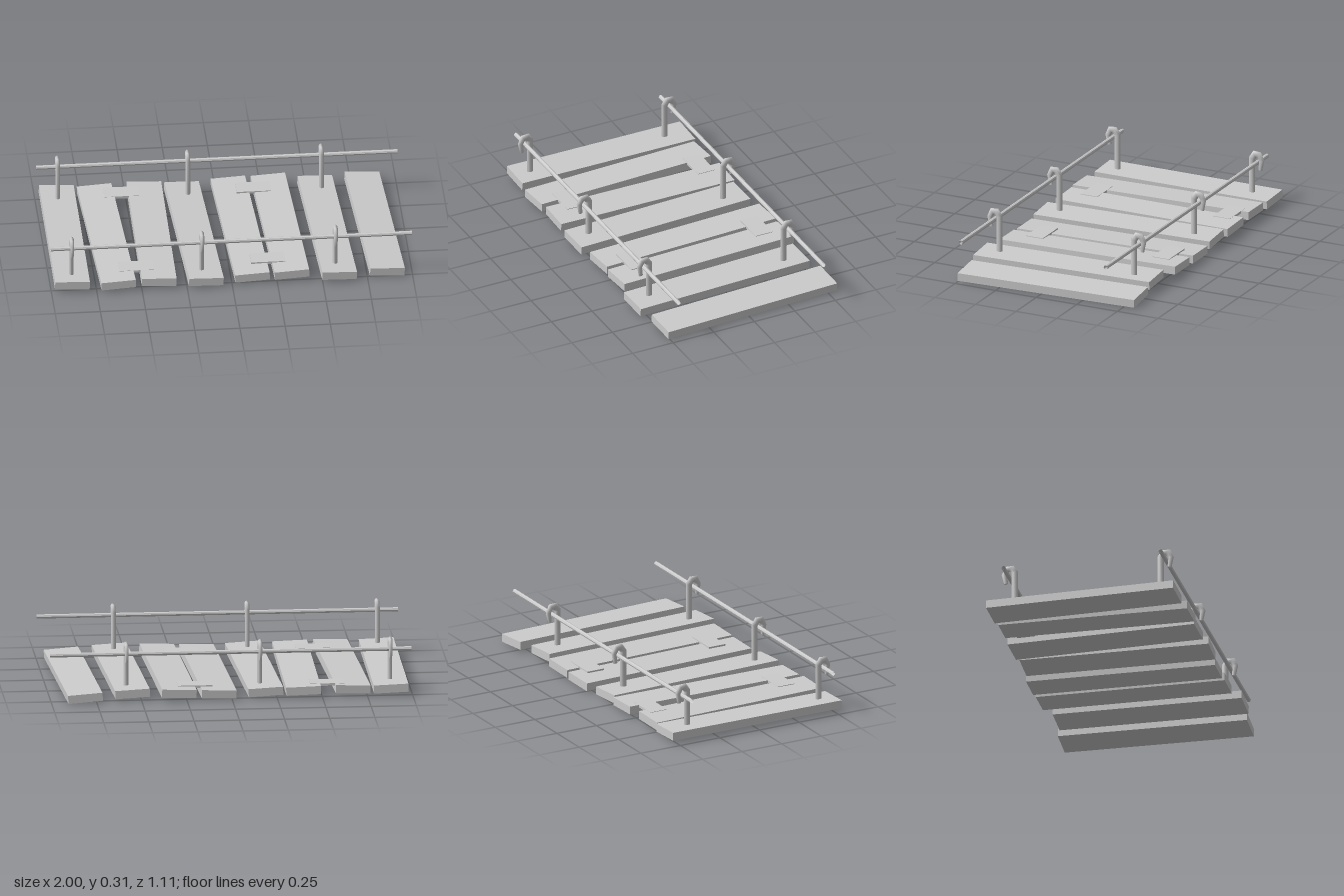
import * as THREE from 'three';

const material = new THREE.MeshStandardMaterial({ color: 0xcccccc });
const flat = new THREE.MeshStandardMaterial({ color: 0xcccccc, flatShading: true });
const flatOpen = new THREE.MeshStandardMaterial({ color: 0xcccccc, flatShading: true, side: THREE.DoubleSide });

// Bent bar in the YZ plane: an elliptical ring at every [z, y, radius], mitred at the bends
function bentBar(path, sides, squash) {
  const pos = [], index = [];
  const pts = path.map(([z, y]) => new THREE.Vector2(z, y));
  pts.forEach((p, i) => {
    const a = p.clone().sub(pts[Math.max(i - 1, 0)]).normalize();
    const b = pts[Math.min(i + 1, pts.length - 1)].clone().sub(p).normalize();
    const t = a.clone().add(b).normalize();
    const miter = 1 / Math.max(t.dot(i ? a : b), 0.6);
    const r = path[i][2];
    for (let k = 0; k < sides; k++) {
      const ang = (k / sides) * Math.PI * 2;
      const n = Math.cos(ang) * r * miter;
      pos.push(Math.sin(ang) * r * squash, p.y - t.x * n, p.x + t.y * n);
    }
  });
  for (let i = 0; i < pts.length - 1; i++) {
    for (let k = 0; k < sides; k++) {
      const a = i * sides + k, b = i * sides + (k + 1) % sides;
      index.push(a, b, a + sides, b, b + sides, a + sides);
    }
  }
  // End caps
  const last = (pts.length - 1) * sides;
  for (let k = 1; k < sides - 1; k++) {
    index.push(0, k + 1, k, last, last + k, last + k + 1);
  }
  const g = new THREE.BufferGeometry();
  g.setAttribute('position', new THREE.Float32BufferAttribute(pos, 3));
  g.setIndex(index);
  g.computeVertexNormals();
  return g;
}

export function createModel() {
  const model = new THREE.Group();
  const add = (name, geometry, mat, x, y, z) => {
    const mesh = new THREE.Mesh(geometry, mat);
    mesh.name = name;
    mesh.position.set(x, y, z);
    model.add(mesh);
    return mesh;
  };

  // Uneven planks: x, y, z, yaw, roll
  const planks = [
    [-0.882, 0.045, 0, -0.005, -0.04],
    [-0.65, 0.042, 0.012, 0.038, 0.04],
    [-0.4, 0.042, 0, -0.01, -0.035],
    [-0.166, 0.037, 0.012, 0.04, -0.045],
    [0.093, 0.036, -0.016, 0.038, 0.035],
    [0.313, 0.043, -0.016, 0.036, 0.04],
    [0.571, 0.04, 0.016, 0.04, -0.045],
    [0.837, 0.0295, -0.021, 0.044, -0.065],
  ];
  const plankGeometry = new THREE.BoxGeometry(0.192, 0.046, 1.064);
  planks.forEach(([x, y, z, yaw, roll], i) => {
    add('plank' + (i + 1), plankGeometry, flat, x, y, z).rotation.set(0, yaw, roll, 'YXZ');
  });

  // Thin plates joining neighbouring planks
  const plateGeometry = new THREE.BoxGeometry(0.19, 0.014, 0.103);
  for (const [x, z] of [[-0.53, -0.426], [-0.52, 0.385], [0.2, -0.415], [0.21, 0.357]]) {
    add('joiningPlate', plateGeometry, flat, x, 0.062, z);
  }

  // Hooked posts carrying the rails, mirrored front to back
  const hookPath = (s) => bentBar([
    [0, 0.04, 0.0183], [0, 0.265, 0.0183], [s * 0.017, 0.291, 0.018],
    [s * 0.043, 0.29, 0.017], [s * 0.059, 0.257, 0.015], [s * 0.05, 0.202, 0.012],
  ], 10, 0.74);
  // Hollow rails run along x through the hooks
  const railGeometry = new THREE.CylinderGeometry(0.012, 0.012, 2, 8, 1, true).rotateZ(Math.PI / 2);
  for (const [side, s, postZ, railZ] of [['front', 1, 0.437, 0.466], ['back', -1, -0.392, -0.427]]) {
    const hookGeometry = hookPath(s);
    for (const x of [-0.883, -0.163, 0.577]) add(side + 'Hook', hookGeometry, material, x, 0, postZ);
    add(side + 'Rail', railGeometry, flatOpen, 0, 0.246, railZ);
  }
  return model;
}
